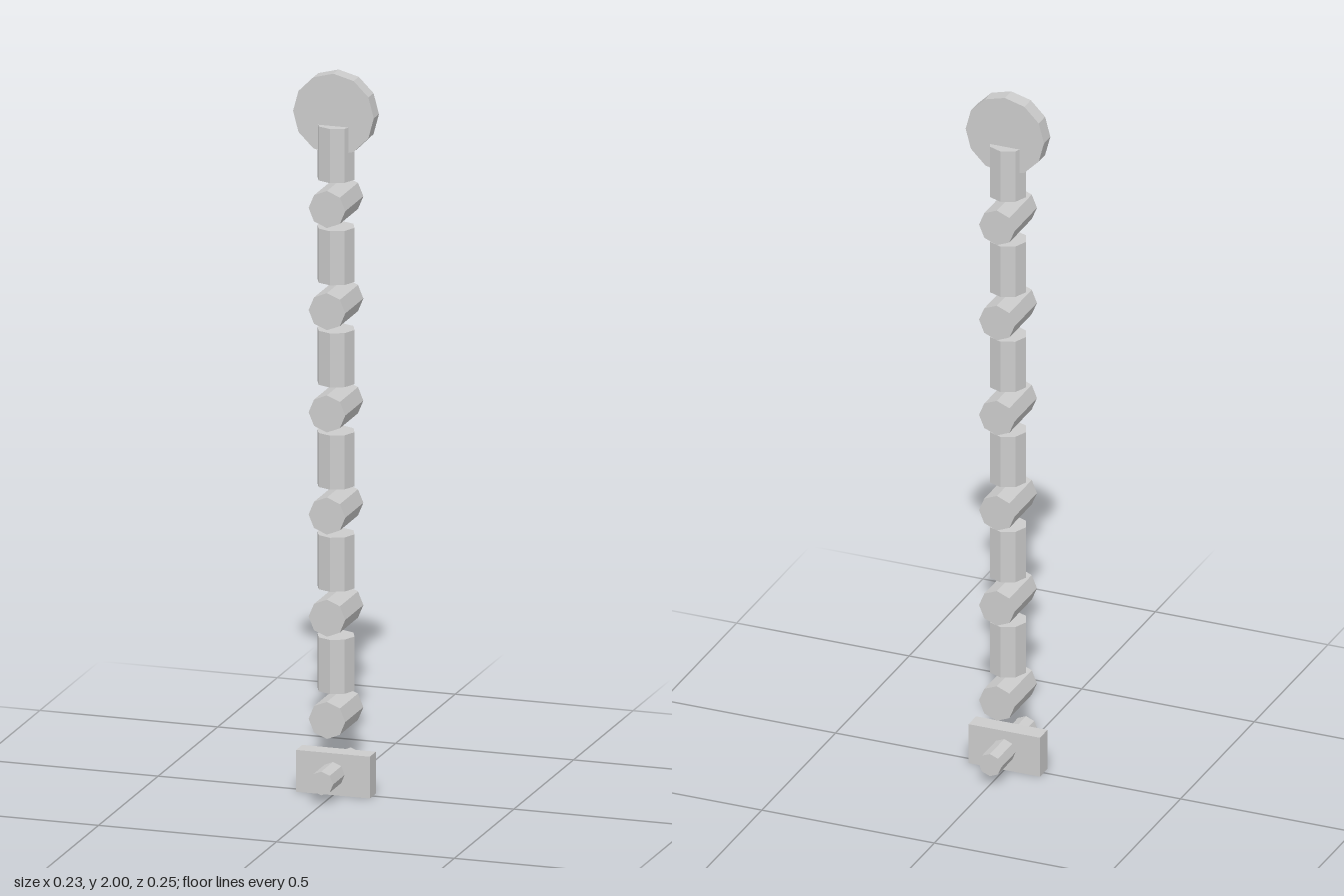
import * as THREE from 'three';

export function createModel() {
  const group = new THREE.Group();
  const grey = new THREE.MeshStandardMaterial({ color: 0xcccccc, flatShading: true });
  grey.name = 'light grey';

  function add(name, geometry, y, alongZ = false) {
    const mesh = new THREE.Mesh(geometry, grey);
    mesh.name = name;
    mesh.position.y = y;
    if (alongZ) mesh.rotation.x = Math.PI / 2;
    group.add(mesh);
  }

  // End plate with a pin through it
  add('endPlate', new THREE.BoxGeometry(0.207, 0.116, 0.051), 0.058);
  add('endPin', new THREE.CylinderGeometry(0.033, 0.033, 0.246, 8), 0.059, true);

  // Alternating crosswise and upright links
  const crossLink = new THREE.CylinderGeometry(0.0515, 0.0515, 0.152, 8);
  const uprightLink = new THREE.CylinderGeometry(0.052, 0.052, 0.15, 8);
  for (let i = 0; i < 6; i++) {
    const y = 0.221 + i * 0.2834;
    add('crossLink', crossLink, y, true);
    add('uprightLink', uprightLink, y + 0.1417);
  }

  // Round disc at the top
  add('topDisc', new THREE.CylinderGeometry(0.1135, 0.1135, 0.0435, 12), 1.8865, true);

  return group;
}
